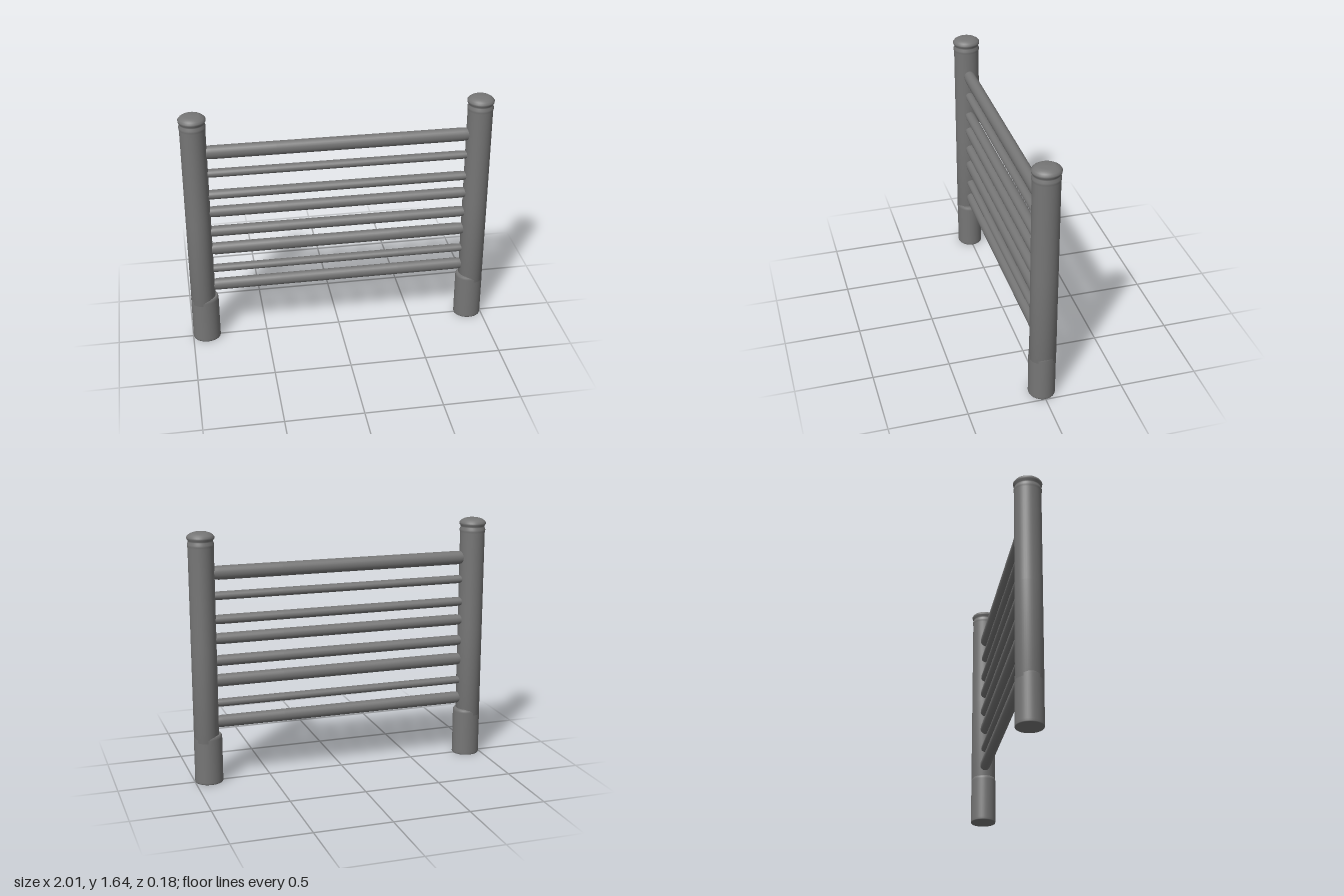
import * as THREE from 'three';

export function createModel() {
  const model = new THREE.Group();
  const iron = new THREE.MeshStandardMaterial({ color: 0x767676 });
  iron.name = 'grey iron';

  const add = (parent, name, geometry) => {
    const mesh = new THREE.Mesh(geometry, iron);
    mesh.name = name;
    parent.add(mesh);
    return mesh;
  };
  const lathe = (profile, segments = 40) =>
    new THREE.LatheGeometry(profile.map(([r, y]) => new THREE.Vector2(r, y)), segments);

  // Post shaft with a beaded collar, a groove and a low domed cap
  const shaft = lathe([
    [0, 0.28], [0.081, 0.28], [0.081, 0.9], [0.081, 1.54], [0.084, 1.552], [0.084, 1.564],
    [0.078, 1.578], [0.078, 1.586], [0.086, 1.597], [0.087, 1.608],
    [0.078, 1.62], [0.062, 1.63], [0.045, 1.636], [0, 1.638],
  ]);
  // Wider foot sleeve with a rounded shoulder
  const foot = lathe([
    [0, 0], [0.09, 0], [0.092, 0.006], [0.0915, 0.02], [0.0915, 0.3],
    [0.089, 0.315], [0.082, 0.324], [0, 0.326],
  ]);

  for (const side of [-1, 1]) {
    const post = new THREE.Group();
    post.name = side < 0 ? 'rightPost' : 'leftPost';
    add(post, 'shaft', shaft).position.x = side * 0.916;
    post.children[0].scale.z = 1.04;
    const sleeve = add(post, 'foot', foot);
    sleeve.position.x = side * 0.907;
    sleeve.scale.z = 0.93;
    model.add(post);
  }

  // Horizontal rails: height and half thickness, with slightly swollen ends
  const rails = [
    [1.375, 0.045], [1.228, 0.027], [1.075, 0.03], [0.95, 0.036],
    [0.806, 0.035], [0.675, 0.041], [0.525, 0.026], [0.4, 0.04],
  ];
  rails.forEach(([y, r], i) => {
    const end = r * 0.92;
    const geometry = lathe([
      [end, -0.88], [end, -0.838], [r, -0.81], [r, -0.4], [r, 0.4],
      [r, 0.81], [end, 0.838], [end, 0.88],
    ], 24);
    geometry.rotateZ(-Math.PI / 2);
    const rail = add(model, `rail${i + 1}`, geometry);
    rail.position.y = y;
    rail.scale.z = THREE.MathUtils.clamp(0.036 / r, 0.88, 1.15);
  });

  return model;
}
